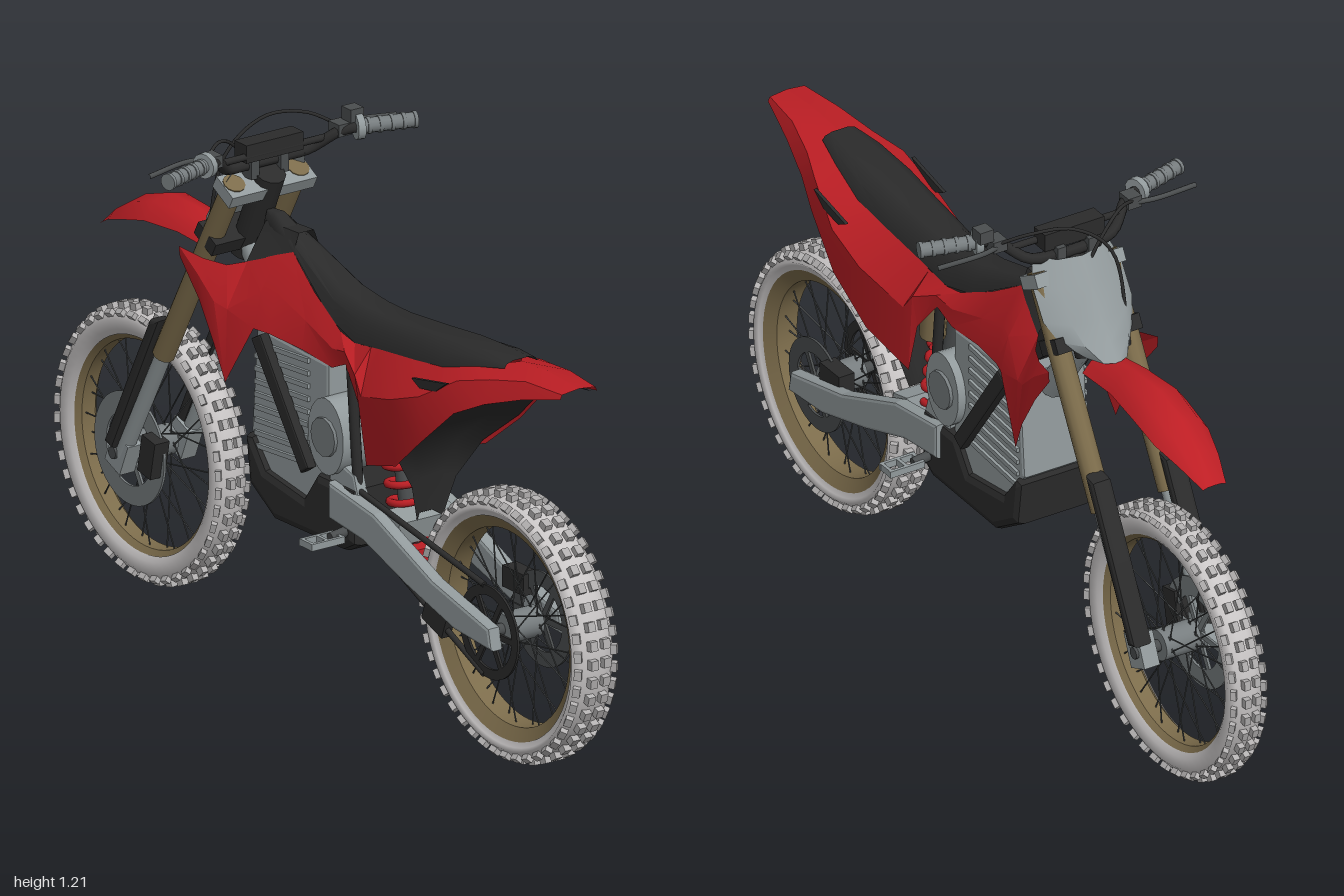
import * as THREE from 'three';
import { mergeGeometries, toCreasedNormals } from 'three/addons/utils/BufferGeometryUtils.js';

const mat = (name, color, side = THREE.FrontSide) => {
  const m = new THREE.MeshStandardMaterial({ color, side });
  m.name = name;
  return m;
};
const V = (x, y, z) => new THREE.Vector3(x, y, z);

export function createModel() {
  const bike = new THREE.Group();
  bike.name = 'dirtBike';
  const D = THREE.DoubleSide;
  const red = mat('red plastic', 0xbc1e24, D), black = mat('black plastic', 0x2b2b2b, D);
  const silver = mat('silver metal', 0x929a9c, D), bronze = mat('bronze', 0x7c6c4b);
  const rubber = mat('pale rubber', 0xc9c6c6, D), knobMat = mat('knob rubber', 0xb2b0b0);
  const steel = mat('dark steel', 0x4a4d4e), grey = mat('mid grey', 0x777d7f);

  const add = (name, geo, m, parent = bike) => {
    const mesh = new THREE.Mesh(geo, m);
    mesh.name = name;
    parent.add(mesh);
    return mesh;
  };
  const box = (name, m, w, h, d, x, y, z, rx = 0) =>
    add(name, new THREE.BoxGeometry(w, h, d).rotateX(rx).translate(x, y, z), m);
  // Cylinder between two points
  const rodGeo = (a, b, r, r2 = r, n = 12) => {
    const d = b.clone().sub(a), g = new THREE.CylinderGeometry(r2, r, d.length(), n);
    g.applyQuaternion(new THREE.Quaternion().setFromUnitVectors(V(0, 1, 0), d.normalize()));
    const c = a.clone().lerp(b, 0.5);
    return g.translate(c.x, c.y, c.z);
  };
  const rod = (name, m, a, b, r, r2) => add(name, rodGeo(a, b, r, r2), m);
  const tube = (name, m, pts, r) =>
    add(name, new THREE.TubeGeometry(new THREE.CatmullRomCurve3(pts.map(p => V(...p))), 28, r, 8), m);
  // Side outline in (z, y), given a thickness in x
  const plateGeo = (pts, x, t, bevel = 0) => {
    const g = new THREE.ExtrudeGeometry(new THREE.Shape(pts.map(p => new THREE.Vector2(...p))),
      { depth: t - 2 * bevel, bevelEnabled: bevel > 0, bevelSize: bevel, bevelOffset: -bevel, bevelThickness: bevel, bevelSegments: 2 });
    return g.translate(0, 0, bevel - t / 2).rotateY(-Math.PI / 2).translate(x, 0, 0);
  };
  const plate = (name, m, pts, x, t, bevel) => add(name, plateGeo(pts, x, t, bevel), m);
  // Surface through rows of [x, y, z] points
  const loft = (name, m, rows, flip = false, crease = 0.6) => {
    const n = rows[0].length, idx = [];
    for (let i = 0; i < rows.length - 1; i++) for (let j = 0; j < n - 1; j++) {
      const a = i * n + j, b = a + 1, c = a + n, d = c + 1;
      idx.push(...(flip ? [a, c, b, b, c, d] : [a, b, c, b, d, c]));
    }
    const g = new THREE.BufferGeometry();
    g.setAttribute('position', new THREE.Float32BufferAttribute(rows.flat(2), 3));
    g.setIndex(idx);
    return add(name, toCreasedNormals(g, crease), m);
  };

  // Wheels: tyre, knobs, rim, spokes, hub
  const wheel = (name, z, y, R, hw, rimR, rimIn, rimHw) => {
    const g = new THREE.Group();
    g.name = name;
    g.position.set(0, y, z);
    bike.add(g);
    const lathe = pts => new THREE.LatheGeometry(pts.map(p => new THREE.Vector2(...p)), 64).rotateZ(Math.PI / 2);
    const c = R - 0.013;
    add('tyre', lathe([[rimR, -rimHw], [rimR + 0.012, -hw * 0.86], [c - 0.022, -hw], [c - 0.007, -hw * 0.75], [c, -hw * 0.3],
      [c, hw * 0.3], [c - 0.007, hw * 0.75], [c - 0.022, hw], [rimR + 0.012, hw * 0.86], [rimR, rimHw]]), rubber, g);
    add('rim', toCreasedNormals(lathe([[rimIn, -rimHw * 0.6], [rimR, -rimHw], [rimR + 0.003, rimHw],
      [rimIn, rimHw * 0.6], [rimIn, -rimHw * 0.6]]), 0.5), bronze, g);
    const knobs = [], spokes = [], N = 44;
    for (let i = 0; i < N; i++) {
      const a = i / N * Math.PI * 2;
      for (const s of [-1, 1]) {
        knobs.push(new THREE.BoxGeometry(hw * 0.34, 0.02, 0.022).translate(s * hw * 0.3, R - 0.01, 0).rotateX(a));
        knobs.push(new THREE.BoxGeometry(hw * 0.3, 0.02, 0.022).rotateZ(-s * 0.75)
          .translate(s * hw * 0.84, R - 0.022, 0).rotateX(a + Math.PI / N));
      }
    }
    add('knobs', mergeGeometries(knobs), knobMat, g);
    for (let i = 0; i < 32; i++) {
      const a = i / 32 * Math.PI * 2, b = a + (i % 4 < 2 ? 0.7 : -0.7), x = i % 2 ? 0.032 : -0.032;
      spokes.push(rodGeo(V(x, 0.035 * Math.cos(b), 0.035 * Math.sin(b)),
        V(x * 0.2, rimIn * Math.cos(a), rimIn * Math.sin(a)), 0.0018, 0.0018, 5));
    }
    add('spokes', mergeGeometries(spokes), steel, g);
    add('hub', rodGeo(V(-0.045, 0, 0), V(0.045, 0, 0), 0.036, 0.036, 24), grey, g);
    add('axle', rodGeo(V(-0.11, 0, 0), V(0.11, 0, 0), 0.014), steel, g);
    return g;
  };
  const rear = wheel('rearWheel', 0.69, 0.31, 0.31, 0.056, 0.255, 0.226, 0.044);
  const front = wheel('frontWheel', -0.675, 0.325, 0.32, 0.044, 0.25, 0.238, 0.03);

  // Brake discs and rear sprocket
  const disc = (name, m, parent, x, r, rin, arms) => {
    const sh = new THREE.Shape().absarc(0, 0, r, 0, Math.PI * 2);
    sh.holes.push(new THREE.Path().absarc(0, 0, rin, 0, Math.PI * 2, true));
    const parts = [new THREE.ExtrudeGeometry(sh, { depth: 0.006, bevelEnabled: false, curveSegments: 32 }).toNonIndexed?.()
      ?? null].filter(Boolean);
    for (let i = 0; i < arms; i++) parts.push(new THREE.BoxGeometry(rin, 0.014, 0.006).toNonIndexed()
      .translate(rin / 2, 0, 0.003).rotateZ(i / arms * Math.PI * 2));
    add(name, mergeGeometries(parts).rotateY(Math.PI / 2).translate(x - 0.003, 0, 0), m, parent);
  };
  disc('frontDisc', grey, front, -0.06, 0.13, 0.085, 6);
  disc('rearDisc', steel, rear, 0.066, 0.11, 0.075, 6);
  disc('rearSprocket', black, rear, -0.078, 0.108, 0.085, 6);
  box('frontCaliper', black, 0.04, 0.09, 0.05, -0.07, 0.34, -0.575, 0.2);
  box('rearCaliper', black, 0.04, 0.05, 0.08, 0.07, 0.375, 0.6);

  // Chain
  rod('chainTop', black, V(-0.078, 0.415, 0.67), V(-0.078, 0.5, 0.17), 0.007);
  rod('chainBottom', black, V(-0.078, 0.205, 0.67), V(-0.078, 0.43, 0.17), 0.007);
  box('chainGuide', black, 0.025, 0.06, 0.08, -0.078, 0.29, 0.5, 0.35);
  rod('driveSprocket', steel, V(-0.07, 0.465, 0.17), V(-0.086, 0.465, 0.17), 0.038);

  // Parts repeated on both sides
  const shell = [ // z, then top, crease and bottom edges as x, y
    [0.915, 0, 0.93, 0.045, 0.925, 0.05, 0.915], [0.8, 0, 0.937, 0.06, 0.925, 0.075, 0.885],
    [0.7, 0, 0.93, 0.085, 0.905, 0.1, 0.85], [0.62, 0.062, 0.907, 0.115, 0.885, 0.125, 0.81],
    [0.51, 0.074, 0.875, 0.14, 0.82, 0.137, 0.71], [0.4, 0.07, 0.858, 0.14, 0.78, 0.122, 0.62],
    [0.26, 0.065, 0.84, 0.115, 0.74, 0.1, 0.575], [0.23, 0.065, 0.835, 0.11, 0.78, 0.096, 0.7],
    [0.165, 0.062, 0.825, 0.09, 0.81, 0.087, 0.78], [0.11, 0.06, 0.835, 0.083, 0.8, 0.083, 0.755],
    [0, 0.05, 0.89, 0.075, 0.83, 0.086, 0.765], [-0.1, 0.036, 0.952, 0.085, 0.87, 0.102, 0.775],
    [-0.14, 0.05, 0.937, 0.095, 0.86, 0.115, 0.778], [-0.225, 0.07, 0.9, 0.125, 0.8, 0.13, 0.63],
    [-0.26, 0.1, 0.888, 0.135, 0.81, 0.135, 0.71], [-0.315, 0.125, 0.893, 0.14, 0.86, 0.136, 0.8],
    [-0.38, 0.142, 0.905, 0.142, 0.895, 0.14, 0.88]];
  const battery = [[0.1, 0.76], [-0.17, 0.77], [-0.19, 0.52], [-0.1, 0.42], [0.1, 0.42]];
  for (const s of [1, -1]) {
    loft('sidePanel', red, shell.map(([z, a, b, c, d, e, f]) => [[s * a, b, z], [s * c, d, z], [s * e, f, z]]), s < 0, 0.4);
    plate('panelInset', black, [[0.6, 0.875], [0.47, 0.85], [0.5, 0.835], [0.56, 0.845]], s * 0.127, 0.008);

    // Fork legs
    rod('forkTube', bronze, V(s * 0.087, 1.08, -0.25), V(s * 0.087, 0.6, -0.513), 0.026);
    rod('forkLower', silver, V(s * 0.087, 0.62, -0.502), V(s * 0.087, 0.32, -0.665), 0.019);
    plate('forkGuard', black, [[-0.49, 0.69], [-0.525, 0.685], [-0.61, 0.52], [-0.695, 0.35], [-0.665, 0.34], [-0.575, 0.52]], s * 0.095, 0.05, 0.01);
    box('forkFoot', silver, 0.04, 0.08, 0.06, s * 0.083, 0.325, -0.668, 0.4);

    // Swingarm, battery fins and frame strut
    plate('swingarm', silver, [[0.13, 0.5], [0.3, 0.475], [0.52, 0.385], [0.73, 0.335], [0.74, 0.285], [0.6, 0.295],
      [0.42, 0.345], [0.26, 0.4], [0.13, 0.415]], s * 0.094, 0.034, 0.008);
    for (let i = 0; i < 9; i++)
      box('batteryFin', silver, 0.008, 0.011, 0.2, s * 0.088, 0.5 + i * 0.03, -0.07, -0.08);
    plate('frameStrut', black, [[-0.12, 0.77], [-0.155, 0.75], [0.03, 0.49], [0.06, 0.51]], s * 0.1, 0.025, 0.005);
    rod('rearStrut', black, V(s * 0.075, 0.78, 0.17), V(s * 0.075, 0.46, 0.2), 0.012);
    plate('pivotPlate', silver, [[0.1, 0.56], [0.2, 0.53], [0.23, 0.44], [0.2, 0.37], [0.12, 0.38]], s * 0.075, 0.03, 0.006);

    // Foot peg: an open loop with teeth
    rod('pegBracket', steel, V(s * 0.07, 0.4, 0.18), V(s * 0.14, 0.39, 0.18), 0.012);
    for (const dz of [-0.02, 0.02]) box('pegRail', silver, 0.09, 0.016, 0.008, s * 0.165, 0.39, 0.185 + dz);
    for (const dx of [0.125, 0.165, 0.205]) box('pegBar', silver, 0.008, 0.016, 0.04, s * dx, 0.39, 0.185);

    // Handlebar end: grip, collar and lever
    rod('grip', grey, V(s * 0.215, 1.165, -0.19), V(s * 0.335, 1.165, -0.155), 0.017);
    for (let i = 0; i < 5; i++) {
      const x = 0.225 + i * 0.026, z = -0.187 + i * 0.0076;
      rod('gripRing', grey, V(s * x, 1.165, z), V(s * (x + 0.008), 1.165, z + 0.0023), 0.0195);
    }
    rod('gripCollar', silver, V(s * 0.2, 1.165, -0.194), V(s * 0.216, 1.165, -0.189), 0.029);
    box('leverPerch', steel, 0.035, 0.028, 0.04, s * 0.175, 1.163, -0.215);
    tube('lever', steel, [[s * 0.17, 1.16, -0.225], [s * 0.22, 1.162, -0.24], [s * 0.335, 1.155, -0.228]], 0.006);
    box('barClamp', steel, 0.022, 0.055, 0.04, s * 0.04, 1.11, -0.255);
  }

  // Seat: rounded section narrowing towards the front
  const seat = [[0.7, 0.045, 0.922, 0.936], [0.62, 0.062, 0.907, 0.934], [0.51, 0.074, 0.875, 0.926], [0.4, 0.07, 0.858, 0.915],
    [0.25, 0.065, 0.838, 0.902], [0.165, 0.062, 0.825, 0.903], [0.07, 0.057, 0.85, 0.915], [-0.1, 0.036, 0.952, 0.968],
    [-0.2, 0.025, 0.98, 1.008], [-0.235, 0.02, 0.93, 1.005]];
  loft('seat', black, seat.map(([z, w, b, t]) =>
    [[w, b, z], [w * 0.85, b + (t - b) * 0.65, z], [w * 0.45, t, z], [-w * 0.45, t, z], [-w * 0.85, b + (t - b) * 0.65, z], [-w, b, z]]), true, 0.9);
  loft('tankCover', black, [[-0.1, 0.036, 0.95], [-0.14, 0.05, 0.935], [-0.225, 0.072, 0.9]].map(([z, w, y]) =>
    [[w, y, z], [0.02, y + (1.0 - y) * 0.85, z], [-0.02, y + (1.0 - y) * 0.85, z], [-w, y, z]]), true);

  // Inner rear mudguard and flap
  loft('innerMudguard', black, [[0.9, 0.91, 0.045], [0.79, 0.882, 0.072], [0.69, 0.845, 0.098], [0.61, 0.805, 0.122], [0.505, 0.715, 0.134],
    [0.4, 0.63, 0.115], [0.375, 0.55, 0.06], [0.36, 0.46, 0.035]].map(([z, y, w]) =>
    [[w, y, z], [w * 0.5, y + 0.012, z - 0.015], [-w * 0.5, y + 0.012, z - 0.015], [-w, y, z]]), false, 1);

  // Front mudguard and plain front plate
  loft('frontMudguard', red, [[-0.38, 0.905, 0.055, 0.03], [-0.5, 0.928, 0.058, 0.045], [-0.61, 0.93, 0.072, 0.05], [-0.7, 0.9, 0.07, 0.045],
    [-0.77, 0.855, 0.052, 0.025], [-0.835, 0.8, 0.03, 0.004]].map(([z, y, w, d]) =>
    [[w, y - d, z], [w * 0.6, y - d * 0.2, z], [0, y, z], [-w * 0.6, y - d * 0.2, z], [-w, y - d, z]]), true, 1);
  loft('frontPlate', silver, [[1.115, -0.255, 0.095], [1.06, -0.29, 0.115], [0.99, -0.335, 0.115], [0.95, -0.37, 0.095], [0.915, -0.405, 0.05]]
    .map(([y, z, w]) => [[w, y, z + 0.02], [w * 0.6, y, z - 0.025], [0, y, z - 0.038], [-w * 0.6, y, z - 0.025], [-w, y, z + 0.02]]), true, 1);

  // Steering head and clamps
  rod('headTube', black, V(0, 1.09, -0.235), V(0, 0.88, -0.33), 0.036);
  box('upperClamp', silver, 0.23, 0.032, 0.07, 0, 1.062, -0.255, 0.5);
  box('lowerClamp', black, 0.22, 0.035, 0.075, 0, 0.93, -0.328, 0.5);
  rod('downTube', silver, V(0, 0.9, -0.3), V(0, 0.72, -0.17), 0.03);

  // Handlebar, pad and cables
  tube('handlebar', black, [[-0.22, 1.165, -0.19], [-0.17, 1.16, -0.205], [-0.11, 1.118, -0.245], [-0.05, 1.112, -0.255],
    [0.05, 1.112, -0.255], [0.11, 1.118, -0.245], [0.17, 1.16, -0.205], [0.22, 1.165, -0.19]], 0.013);
  rod('crossBar', black, V(-0.14, 1.145, -0.225), V(0.14, 1.145, -0.225), 0.008);
  box('barPad', black, 0.155, 0.042, 0.045, 0, 1.153, -0.24);
  box('reservoir', steel, 0.035, 0.03, 0.035, 0.205, 1.192, -0.21);
  tube('brakeCable', black, [[0.18, 1.165, -0.225], [0.12, 1.195, -0.27], [0.03, 1.195, -0.3], [-0.06, 1.12, -0.32], [-0.075, 0.9, -0.37]], 0.004);
  tube('throttleCable', black, [[-0.18, 1.165, -0.225], [-0.12, 1.18, -0.26], [-0.05, 1.14, -0.29], [0.03, 0.98, -0.28]], 0.004);

  // Battery, motor and belly guard
  plate('battery', silver, battery, 0, 0.17, 0.008);
  plate('frameSpine', black, [[0.6, 0.85], [0.2, 0.8], [-0.08, 0.9], [-0.25, 0.94], [-0.27, 0.88], [-0.12, 0.76], [0.2, 0.74], [0.45, 0.78]], 0, 0.05);
  const motor = add('motor', rodGeo(V(-0.105, 0, 0), V(0.105, 0, 0), 0.066, 0.066, 28).scale(1, 1.35, 1), silver);
  motor.position.set(0, 0.6, 0.115);
  for (const s of [1, -1]) rod('motorCap', grey, V(s * 0.1, 0.6, 0.115), V(s * 0.113, 0.6, 0.115), 0.045);
  plate('bellyGuard', black, [[0.21, 0.5], [0.215, 0.37], [0.17, 0.345], [-0.09, 0.34], [-0.185, 0.4], [-0.2, 0.51],
    [-0.17, 0.515], [-0.12, 0.45], [0.02, 0.43], [0.07, 0.5]], 0, 0.2, 0.02);

  // Shock: damper, coil spring and bronze reservoir
  rod('shockBody', steel, V(0, 0.74, 0.22), V(0, 0.36, 0.3), 0.02);
  const coil = [];
  for (let i = 0; i <= 72; i++) {
    const t = i / 72, a = t * Math.PI * 12;
    coil.push(V(0.042 * Math.cos(a), 0.62 - 0.24 * t, 0.25 + 0.05 * t + 0.042 * Math.sin(a)));
  }
  add('shockSpring', new THREE.TubeGeometry(new THREE.CatmullRomCurve3(coil), 180, 0.009, 8), red);
  box('shockLink', red, 0.07, 0.035, 0.12, 0, 0.37, 0.29);
  rod('shockReservoir', bronze, V(0.06, 0.76, 0.215), V(0.06, 0.67, 0.225), 0.03);
  box('swingarmBridge', silver, 0.16, 0.06, 0.06, 0, 0.44, 0.32, 0.25);
  return bike;
}
